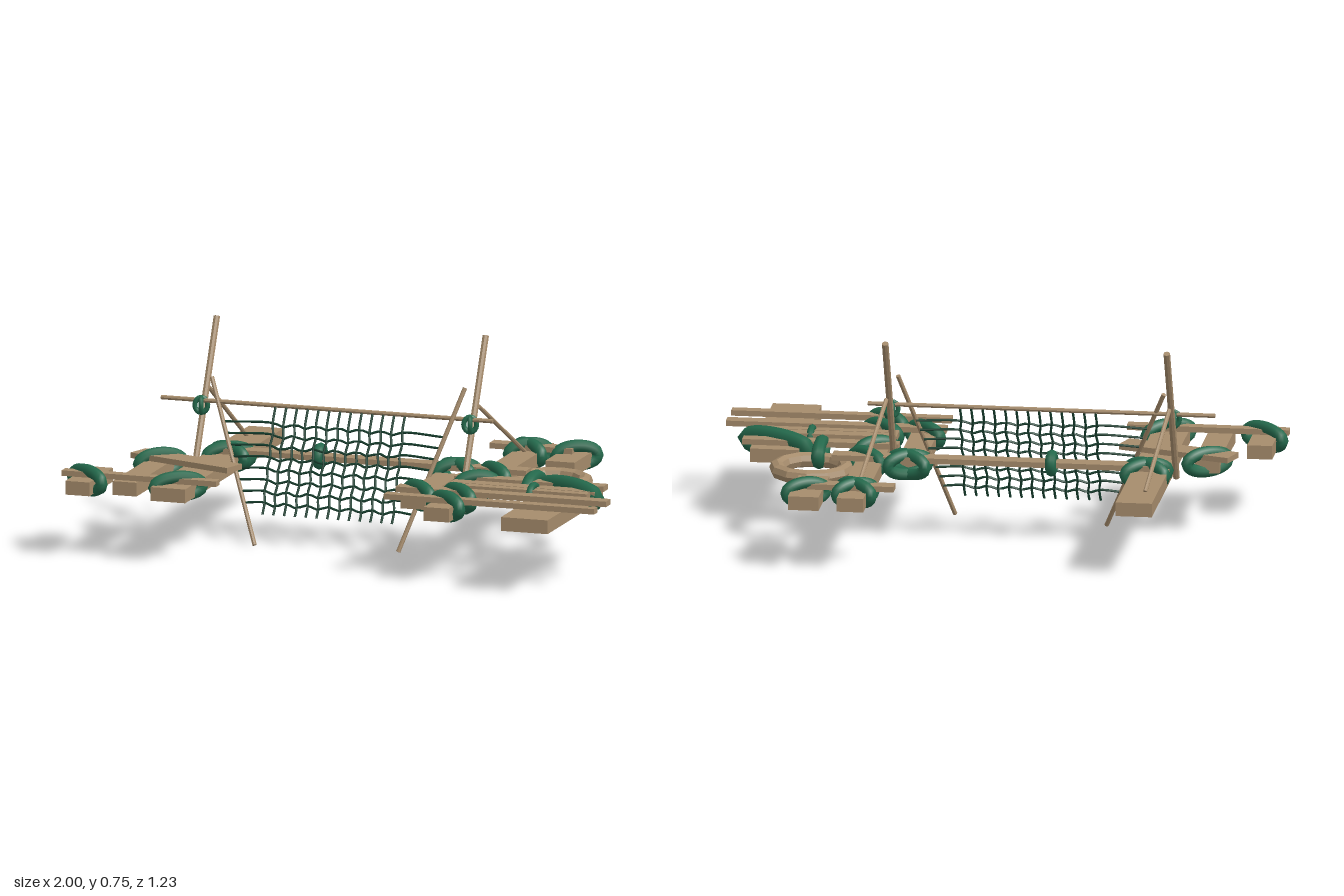
import * as THREE from 'three';

const wood = new THREE.MeshStandardMaterial({ color: 0xa68c6c, side: THREE.DoubleSide });
const woodFlat = new THREE.MeshStandardMaterial({ color: 0xa68c6c, flatShading: true });
const green = new THREE.MeshStandardMaterial({ color: 0x24694c });
const netGreen = new THREE.MeshStandardMaterial({ color: 0x17402f });

export function createModel() {
  const model = new THREE.Group();
  const add = (name, geometry, material) => {
    const mesh = new THREE.Mesh(geometry, material);
    mesh.name = name;
    model.add(mesh);
    return mesh;
  };
  const V = (x, y, z) => new THREE.Vector3(x, y, z);

  // Box without an underside, given by its x, y and z ranges
  const plank = (name, x0, x1, z0, z1, y0, y1) => {
    const g = new THREE.BoxGeometry(x1 - x0, y1 - y0, z1 - z0);
    const index = Array.from(g.index.array);
    index.splice(18, 6);
    g.setIndex(index);
    g.clearGroups();
    const mesh = add(name, g, wood);
    mesh.position.set((x0 + x1) / 2, (y0 + y1) / 2, (z0 + z1) / 2);
    return mesh;
  };

  // Round pole between two points
  const pole = (name, a, b, r) => {
    const mesh = add(name, new THREE.CylinderGeometry(r, r, a.distanceTo(b), 8), woodFlat);
    mesh.position.copy(a).lerp(b, 0.5);
    mesh.quaternion.setFromUnitVectors(V(0, 1, 0), b.clone().sub(a).normalize());
  };

  // Upright oval loop of rope whose outer ends are (x0, z0) and (x1, z1) in plan
  const lashing = (x0, z0, x1, z1, r = 0.022, cy = 0.268, h = 0.057) => {
    const dx = x1 - x0, dz = z1 - z0, len = Math.hypot(dx, dz);
    const a = len / 2 - r, b = h - r, pts = [];
    for (let i = 0; i < 20; i++) {
      const t = (i / 20) * Math.PI * 2, c = (Math.cos(t) * a) / len;
      pts.push(V((x0 + x1) / 2 + dx * c, cy + Math.sin(t) * b, (z0 + z1) / 2 + dz * c));
    }
    add('lashing', new THREE.TubeGeometry(new THREE.CatmullRomCurve3(pts, true), 28, r, 8, true), green);
  };
  const crossLashing = (x, z, a, b) => {
    lashing(x - a, z - b, x + a, z + b);
    lashing(x - a, z + b, x + a, z - b);
  };

  // Thick lengthwise floats
  for (const [x0, x1, z0, z1] of [
    [-0.64, -0.51, -0.54, 0.54], [-0.8, -0.71, 0.07, 0.49], [-0.96, -0.87, 0.28, 0.54],
    [0.385, 0.48, -0.615, 0.54], [0.545, 0.655, -0.615, -0.33],
    [0.7, 0.875, 0, 0.61], [0.24, 0.335, -0.02, 0.37],
  ]) plank('floatBoard', x0, x1, z0, z1, 0.23, 0.28);

  // Thin slats laid across
  for (const [x0, x1, z0, z1] of [
    [-1, -0.42, 0.425, 0.465], [-0.62, 0.565, -0.12, -0.06], [0.29, 0.6, -0.515, -0.46],
    [0.35, 0.91, 0.05, 0.1], [0.37, 0.91, 0.15, 0.2], [0.37, 0.895, 0.205, 0.24],
    [0.21, 1, 0.285, 0.335], [0.21, 1, 0.425, 0.465],
  ]) plank('crossSlat', x0, x1, z0, z1, 0.28, 0.3);
  const skew = plank('skewedSlat', -0.86, -0.43, 0.09, 0.178, 0.281, 0.301);
  skew.rotation.y = -0.32;

  // Floating ring
  const ring = add('floatRing', new THREE.TorusGeometry(0.125, 0.028, 8, 12), woodFlat);
  ring.rotation.x = Math.PI / 2;
  ring.position.set(0.635, 0.25, -0.128);

  // Rope lashings
  for (const loop of [
    [-1, 0.38, -0.82, 0.51], [-0.84, 0.15, -0.67, 0.03], [-0.66, 0.51, -0.475, 0.385],
    [0.37, -0.13, 0.52, -0.01], [0.52, -0.455, 0.69, -0.55], [0.35, 0.125, 0.51, 0.035],
    [0.21, 0.245, 0.365, 0.365], [0.36, 0.245, 0.52, 0.37], [0.36, 0.385, 0.52, 0.5],
    [0.625, -0.07, 0.625, 0.135, 0.024], [0.64, 0.02, 0.94, 0.195, 0.03, 0.27, 0.06],
    [-0.22, -0.145, -0.22, -0.04, 0.02, 0.292, 0.048],
    [0.68, 0.14, 0.68, 0.255, 0.013, 0.28, 0.04],
  ]) lashing(...loop);
  crossLashing(-0.56, -0.09, 0.09, 0.052);
  crossLashing(0.295, -0.09, 0.085, 0.052);
  crossLashing(0.43, -0.488, 0.08, 0.055);

  // Leaning masts, splayed net poles, struts and the top bar
  for (const x of [-0.65, 0.36]) {
    pole('mast', V(x, 0.745, -0.217), V(x, 0.22, 0.037), 0.012);
    for (const turn of [0, Math.PI / 2]) {
      const knot = add('mastKnot', new THREE.TorusGeometry(0.023, 0.009, 8, 16), green);
      knot.position.set(x, 0.457, -0.046);
      knot.rotation.set(0, turn + 0.3, 0);
      knot.scale.y = 1.15;
    }
  }
  pole('netPole', V(-0.62, 0.555, -0.075), V(-0.385, 0.005, 0.143), 0.008);
  pole('netPole', V(0.335, 0.585, -0.062), V(0.16, 0.022, 0.16), 0.008);
  pole('strut', V(-0.645, 0.51, -0.112), V(-0.595, 0.28, -0.385), 0.008);
  pole('strut', V(0.37, 0.51, -0.112), V(0.425, 0.28, -0.455), 0.008);
  pole('topBar', V(-0.8, 0.475, -0.046), V(0.445, 0.475, -0.046), 0.008);

  // Net hung in the plane of the splayed poles
  const netZ = (y) => -0.045 + (0.475 - y) * 0.4;
  const cord = (pts) => add('netCord',
    new THREE.TubeGeometry(new THREE.CatmullRomCurve3(pts), pts.length * 2, 0.0045, 5), netGreen);
  const strands = 13, rows = 8;
  const strandX = (i) => -0.37 + i * 0.0405;
  const rowY = (j) => 0.41 - j * 0.038;
  const sag = (i) => (i % 2 ? -0.006 : 0.006);
  for (let i = 0; i < strands; i++) {
    const pts = [V(strandX(i), 0.472, netZ(0.472))];
    for (let j = 0; j < rows; j++) {
      const y = rowY(j) + sag(i);
      pts.push(V(strandX(i) + (j % 2 ? 0.003 : -0.003), y, netZ(y)));
    }
    pts.push(V(strandX(i), 0.108, netZ(0.108)));
    cord(pts);
  }
  for (let j = 0; j < rows; j++) {
    const y = rowY(j);
    const pts = [V(-0.62 + (0.555 - y) * 0.427, y, netZ(y))];
    for (let i = 0; i < strands; i++) pts.push(V(strandX(i), y + sag(i), netZ(y + sag(i))));
    pts.push(V(0.33 - (0.585 - y) * 0.3125, y, netZ(y)));
    cord(pts);
  }
  return model;
}
